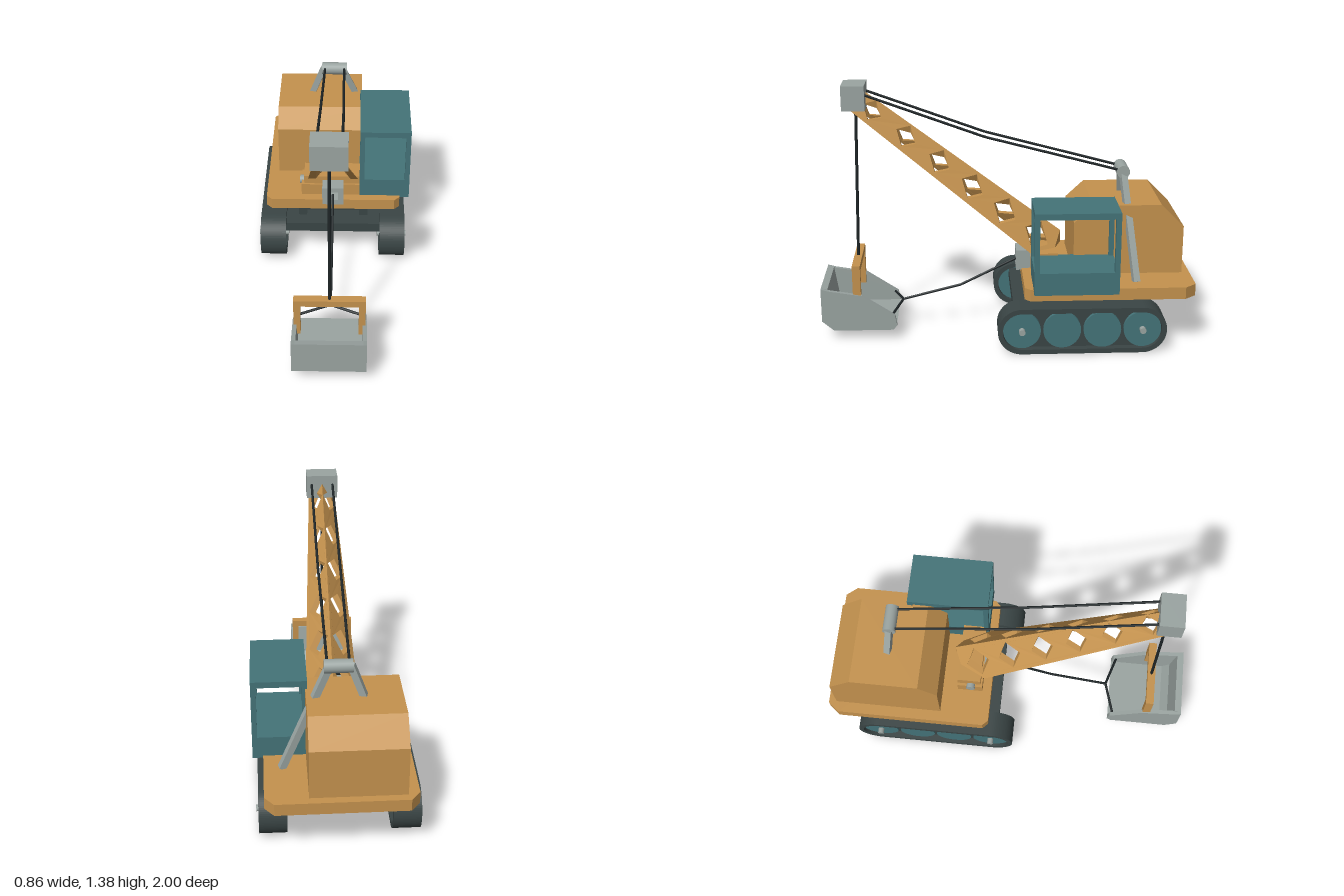
import * as THREE from 'three';

const mat = (name, color) => {
  const m = new THREE.MeshStandardMaterial({ color });
  m.name = name;
  return m;
};

export function createModel() {
  const orange = mat('ochre paint', 0xc4924e);
  const teal = mat('teal paint', 0x447378);
  const steel = mat('light steel', 0x9aa4a1);
  const dark = mat('dark iron', 0x3a4545);
  const rope = mat('black cable', 0x1e2527);

  const root = new THREE.Group();
  root.name = 'dragline';
  const model = new THREE.Group();
  model.name = 'machine';
  model.position.x = -0.009;
  root.add(model);

  const V = (x, y, z) => new THREE.Vector3(x, y, z);
  const add = (name, geo, material, parent = model) => {
    const m = new THREE.Mesh(geo, material);
    m.name = name;
    parent.add(m);
    return m;
  };
  // Box given by its limits on each axis
  const box = (name, material, [x0, x1], [y0, y1], [z0, z1]) =>
    add(name, new THREE.BoxGeometry(x1 - x0, y1 - y0, z1 - z0)
      .translate((x0 + x1) / 2, (y0 + y1) / 2, (z0 + z1) / 2), material);
  const polygon = pts => new THREE.Shape(pts.map(p => new THREE.Vector2(...p)));
  // Side profile of [z, y] points, extruded from x0 to x1
  const profile = (shape, x0, x1) =>
    new THREE.ExtrudeGeometry(shape, { depth: x1 - x0, bevelEnabled: false, curveSegments: 20 })
      .rotateY(-Math.PI / 2).translate(x1, 0, 0);
  // Cylinder along x
  const roller = (r, x0, x1, y, z, n = 24) =>
    new THREE.CylinderGeometry(r, r, x1 - x0, n).rotateZ(Math.PI / 2).translate((x0 + x1) / 2, y, z);
  const cable = (name, pts, r = 0.007) => {
    const path = new THREE.CurvePath();
    for (let i = 1; i < pts.length; i++) path.add(new THREE.LineCurve3(pts[i - 1], pts[i]));
    add(name, new THREE.TubeGeometry(path, 40, r, 8), rope);
  };

  // Crawler tracks
  const stadium = (z0, z1, y, r, Path = THREE.Shape) => {
    const s = new Path();
    s.absarc(z1, y, r, -Math.PI / 2, Math.PI / 2, false);
    s.absarc(z0, y, r, Math.PI / 2, Math.PI * 1.5, false);
    s.closePath();
    return s;
  };
  const [zr, zf, wy] = [-0.715, -0.075, 0.128];
  for (const s of [-1, 1]) {
    const track = new THREE.Group();
    track.name = s > 0 ? 'leftTrack' : 'rightTrack';
    track.position.x = s * 0.339;
    model.add(track);
    const belt = stadium(zr, zf, wy, 0.128);
    belt.holes.push(stadium(zr, zf, wy, 0.102, THREE.Path));
    add('trackBelt', profile(belt, -0.072, 0.072), dark, track);
    add('trackFrame', profile(stadium(zr, zf, wy, 0.102), -0.035, 0.035), dark, track);
    for (let i = 0; i < 4; i++)
      add('roadWheel', roller(0.1, -0.055, 0.055, wy, zf + (zr - zf) * i / 3, 32), teal, track);
    for (const z of [zr, zf]) add('wheelHub', roller(0.017, -0.084, 0.084, wy, z, 12), steel, track);
  }

  // Undercarriage and turntable
  box('carBody', dark, [-0.2, 0.2], [0.12, 0.262], [-0.62, -0.16]);
  box('carBodySlab', dark, [-0.275, 0.275], [0.11, 0.168], [-0.62, -0.16]);
  for (const z of [zr, zf]) box('crossBeam', dark, [-0.275, 0.275], [0.168, 0.225], [z - 0.04, z + 0.04]);
  box('spine', dark, [-0.15, 0.15], [0.168, 0.225], [zr, zf]);
  add('turntable', new THREE.CylinderGeometry(0.2, 0.2, 0.05, 40).translate(0, 0.272, -0.39), steel);

  // Deck with clipped corners
  const deck = polygon([[-0.35, 0.09], [0.35, 0.09], [0.38, 0.12], [0.38, 0.94], [0.332, 1],
    [-0.332, 1], [-0.38, 0.94], [-0.38, 0.12]]);
  add('deck', new THREE.ExtrudeGeometry(deck, { depth: 0.065, bevelEnabled: false })
    .rotateX(-Math.PI / 2).translate(0, 0.29, 0), orange);

  // Engine house
  add('engineHouse', profile(polygon([[-0.365, 0.355], [-0.957, 0.355], [-0.957, 0.62], [-0.834, 0.742],
    [-0.465, 0.742], [-0.365, 0.648]]), -0.321, 0.162), orange);

  // Cab: solid lower part, four posts and a roof
  const [cx0, cx1, cz0, cz1] = [0.151, 0.434, -0.58, -0.136];
  box('cabBase', teal, [cx0, cx1], [0.343, 0.465], [cz0, cz1]);
  box('cabRoof', teal, [cx0, cx1], [0.755, 0.788], [cz0, cz1]);
  for (const x of [cx0, cx1 - 0.027]) for (const z of [cz0, cz1 - 0.027])
    box('cabPost', teal, [x, x + 0.027], [0.465, 0.755], [z, z + 0.027]);

  // Boom foot, pin and fairlead
  box('boomFoot', orange, [-0.18, 0.18], [0.355, 0.425], [-0.28, -0.14]);
  box('boomSeat', orange, [-0.165, 0.165], [0.425, 0.475], [-0.28, -0.15]);
  add('boomPin', roller(0.025, -0.19, 0.19, 0.415, -0.205, 16), steel);
  const ring = polygon([[-0.06, 0.344], [0.06, 0.344], [0.06, 0.458], [-0.06, 0.458]]);
  ring.holes.push(polygon([[-0.028, 0.375], [-0.028, 0.428], [0.028, 0.428], [0.028, 0.375]]));
  add('fairlead', new THREE.ExtrudeGeometry(ring, { depth: 0.08, bevelEnabled: false })
    .translate(0, 0, -0.14), steel);

  // Boom: two thick plates meeting at a top ridge, leaning outward, with openings cut straight across
  const ridge = z => 0.553 + (z + 0.305) * 0.7538;
  const foot = z => 0.473 + (z + 0.13) * 0.8285;
  const halfWidth = z => 0.14 - (z + 0.1) * 0.072;
  const thickness = 0.3;
  for (const s of [-1, 1]) {
    const side = polygon([[-0.305, 0.553], [-0.27, 0.473], [-0.13, 0.473], [0.82, 1.26], [0.735, 1.337]]);
    for (let i = 0; i < 6; i++) {
      const z = -0.171 + i * 0.174, y = 0.549 + i * 0.139, k = 1 - i * 0.05;
      side.holes.push(polygon([[0.061, 0.048], [-0.029, 0.059], [-0.061, -0.053], [0.029, -0.059]]
        .map(([a, b]) => [z + a * k, y + b * k])));
    }
    const geo = profile(side, 0, 1);
    const p = geo.attributes.position;
    for (let i = 0; i < p.count; i++) {
      const z = p.getZ(i), y = p.getY(i), top = ridge(z), drop = top - foot(z);
      const f = THREE.MathUtils.clamp((top - y) / drop, 0, 1);
      const outer = (p.getX(i) > 0.5) === (s > 0);
      p.setX(i, s * halfWidth(z) * (outer ? f : Math.max(0, f - thickness)));
      if (!outer && f < thickness) p.setY(i, top - thickness * drop);
    }
    geo.computeVertexNormals();
    add('boomSide', geo, orange);
  }

  // Boom head
  box('boomHead', steel, [-0.088, 0.088], [1.25, 1.383], [0.733, 0.855]);

  // Gantry legs and roller behind the boom
  for (const s of [-1, 1]) {
    const a = V(s * 0.055, 0.9, -0.635), b = V(s * 0.28, 0.35, -0.69);
    const leg = add('gantryLeg', new THREE.BoxGeometry(0.035, 0.035, a.distanceTo(b)), steel);
    leg.position.copy(a).lerp(b, 0.5);
    leg.lookAt(b);
    cable('pendantCable', [V(s * 0.06, 1.33, 0.735), V(s * 0.06, 1.1, 0.107), V(s * 0.055, 0.905, -0.63)]);
    cable('dragBridle', [V(s * 0.168, 0.135, 0.62), V(0, 0.157, 0.567)]);
  }
  add('gantryRoller', roller(0.035, -0.072, 0.072, 0.9, -0.635), steel);

  // Bucket: floor and front wall shell between two cheeks
  add('bucketShell', profile(polygon([[1, 0.297], [0.965, 0.29], [0.94, 0.13], [0.9, 0.085], [0.595, 0.085],
    [0.598, 0.075], [0.615, 0.055], [0.936, 0.055], [1, 0.11]]), -0.17, 0.17), steel);
  for (const s of [-1, 1])
    add('bucketCheek', profile(polygon([[1, 0.297], [0.957, 0.285], [0.78, 0.255], [0.604, 0.137], [0.594, 0.08],
      [0.615, 0.055], [0.936, 0.055], [1, 0.11]]), s * 0.178 - 0.011, s * 0.178 + 0.011), steel);

  // Bucket bail
  box('bailBar', orange, [-0.182, 0.182], [0.388, 0.424], [0.785, 0.828]);
  for (const s of [-1, 1])
    box('bailPost', orange, [s * 0.165 - 0.017, s * 0.165 + 0.017], [0.2, 0.388], [0.785, 0.828]);

  // Working ropes
  cable('hoistCable', [V(0, 1.26, 0.787), V(0, 0.41, 0.807)], 0.008);
  cable('dragCable', [V(0, 0.157, 0.567), V(0, 0.238, 0.246), V(0, 0.4, -0.08)]);

  return root;
}
